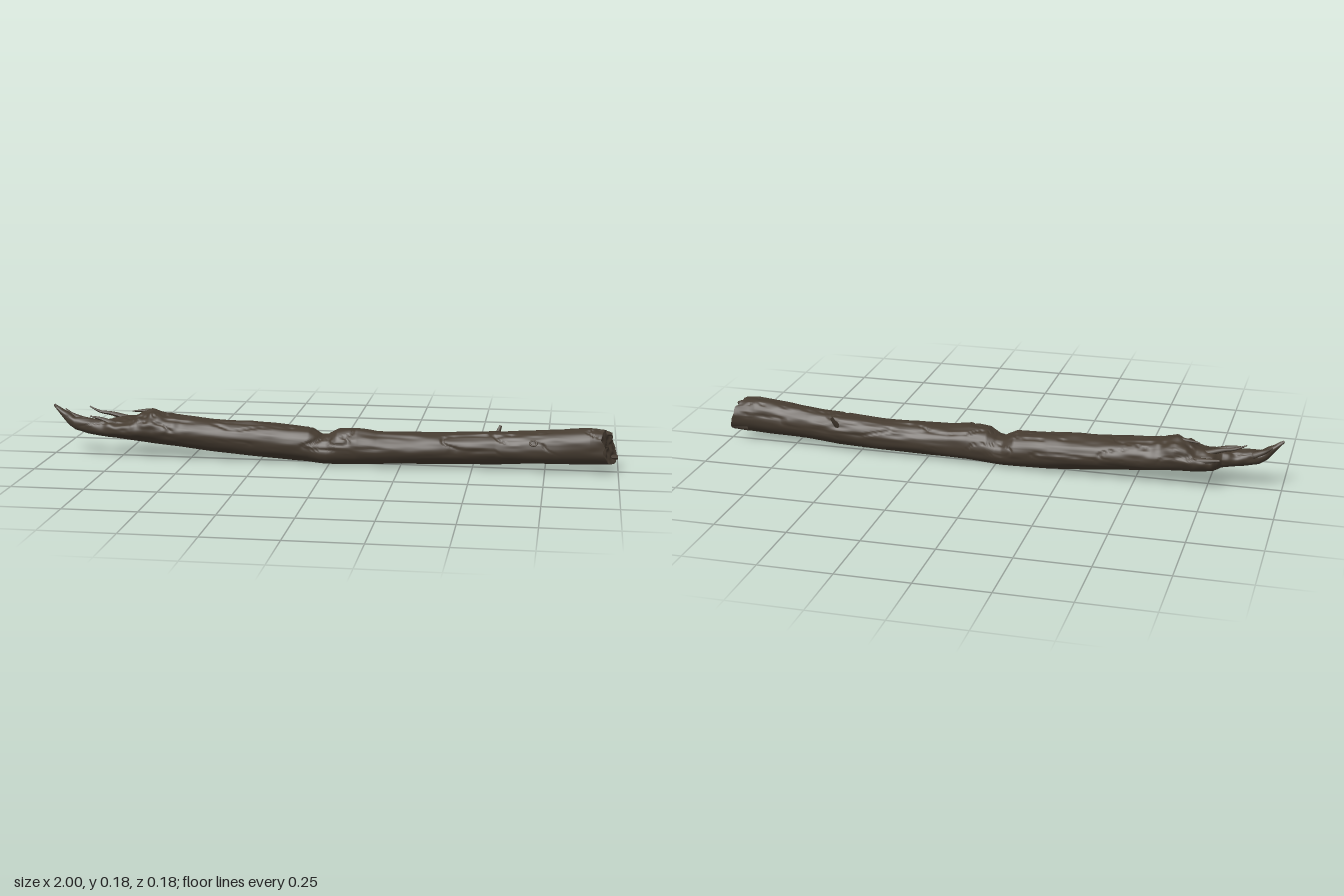
import * as THREE from 'three';

// Stations along the log: x, bottom y, top y, back z, front z
const STATIONS = [
  [-1, .182, .188, .002, .008], [-.975, .152, .176, -.006, .016], [-.945, .115, .158, -.012, .022],
  [-.92, .098, .146, -.018, .028], [-.87, .085, .142, -.022, .038], [-.83, .08, .138, -.03, .045],
  [-.795, .076, .138, -.04, .052], [-.77, .072, .142, -.08, .055], [-.71, .066, .148, -.088, .062],
  [-.68, .063, .165, -.087, .064], [-.64, .058, .176, -.086, .065], [-.59, .053, .164, -.084, .065],
  [-.5, .044, .157, -.082, .065], [-.4, .035, .15, -.08, .065], [-.2, .018, .141, -.075, .065],
  [-.07, .01, .134, -.065, .068], [-.03, .008, .112, -.058, .073], [-.005, .008, .114, -.056, .076],
  [.03, .008, .136, -.054, .08], [.1, .011, .138, -.05, .084], [.17, .014, .128, -.05, .082],
  [.4, .02, .131, -.054, .07], [.58, .026, .139, -.056, .065], [.7, .032, .147, -.045, .072],
  [.8, .035, .155, -.041, .076], [.9, .038, .164, -.037, .077], [1, .04, .162, -.034, .074],
];

function section(x) {
  let i = 0;
  while (i < STATIONS.length - 2 && STATIONS[i + 1][0] < x) i++;
  const a = STATIONS[i], b = STATIONS[i + 1];
  const t = (x - a[0]) / (b[0] - a[0]);
  const v = a.map((p, k) => p + (b[k] - p) * t);
  return { cy: (v[1] + v[2]) / 2, ry: (v[2] - v[1]) / 2, cz: (v[3] + v[4]) / 2, rz: (v[4] - v[3]) / 2 };
}

// Smooth repeatable value noise in -1..1
function hash(x, y, z) {
  const h = Math.sin(x * 127.1 + y * 311.7 + z * 74.7) * 43758.5453;
  return (h - Math.floor(h)) * 2 - 1;
}
function noise(x, y, z) {
  const X = Math.floor(x), Y = Math.floor(y), Z = Math.floor(z);
  const s = t => t * t * (3 - 2 * t), L = THREE.MathUtils.lerp;
  const u = s(x - X), v = s(y - Y), w = s(z - Z);
  const row = (j, k) => L(hash(X, Y + j, Z + k), hash(X + 1, Y + j, Z + k), u);
  return L(L(row(0, 0), row(1, 0), v), L(row(0, 1), row(1, 1), v), w);
}

// Point on the bark: ellipse plus ridges, long cracks, torn wood and a scar
function barkPoint(x, a) {
  const { cy, ry, cz, rz } = section(x);
  const c = Math.cos(a), s = Math.sin(a);
  let y = cy + ry * s, z = cz + rz * c;
  const upper = THREE.MathUtils.smoothstep(s, -.5, .5);
  const fade = Math.min(1, ry / .05);
  let d = noise(x * 7, y * 28, z * 28) * .003 + noise(x * 14, y * 75, z * 75) * .0018 * (.3 + upper);
  const crack = Math.abs(noise(x * 6 + 9, y * 38, z * 38));
  d -= Math.max(0, 1 - crack / .1) * .0045 * upper;
  const torn = upper * (1 - THREE.MathUtils.smoothstep(x, -.72, -.45));
  d += noise(x * 38, y * 45, z * 45) * .009 * torn;
  // Diagonal scar running from the top notch down the front
  const scar = Math.abs(x + .02 + (1 - s) * .06);
  if (c > 0 && s > .2) d -= Math.max(0, 1 - scar / .014) * .006;
  d *= fade;
  y += d * s;
  z += d * c;
  // Slanted break at the thick end
  if (x > .9) {
    const end = .965 - .35 * (z - .02) + .25 * (.1 - y) + noise(3, y * 45, z * 45) * .007;
    x = .9 + (x - .9) * 10 * (end - .9);
  }
  return [x, Math.max(0, y), z];
}

const AROUND = 72;

// Skin a list of closed rings; each ring holds AROUND points
function skin(rings) {
  const index = [];
  for (let i = 0; i < rings.length - 1; i++) {
    for (let j = 0; j < AROUND; j++) {
      const k = (j + 1) % AROUND;
      const a = i * AROUND + j, b = i * AROUND + k;
      index.push(a, a + AROUND, b, b, a + AROUND, b + AROUND);
    }
  }
  const g = new THREE.BufferGeometry();
  g.setAttribute('position', new THREE.Float32BufferAttribute(rings.flat(2), 3));
  g.setIndex(index);
  g.computeVertexNormals();
  return g;
}

function ring(x) {
  return Array.from({ length: AROUND }, (_, j) => barkPoint(x, j / AROUND * Math.PI * 2));
}

export function createModel() {
  const model = new THREE.Group();
  const bark = new THREE.MeshStandardMaterial({ color: 0x453b30 });
  bark.name = 'dark brown bark';

  const add = (name, geometry) => {
    const mesh = new THREE.Mesh(geometry, bark);
    mesh.name = name;
    model.add(mesh);
    return mesh;
  };

  // Curved log
  const rows = 420;
  add('log', skin(Array.from({ length: rows + 1 }, (_, i) => ring(-1 + 2 * i / rows))));

  // Rough broken face at the thick end, shrinking rings towards the middle
  const rim = ring(1);
  const mid = [0, 1, 2].map(k => rim.reduce((t, p) => t + p[k], 0) / AROUND);
  const steps = 12;
  const face = Array.from({ length: steps + 1 }, (_, i) => rim.map(p => {
    const q = p.map((v, k) => v + (mid[k] - v) * i / steps);
    const rough = Math.min(1, i / 2);
    q[0] += rough * (noise(5, q[1] * 50, q[2] * 50) * .008 - .004);
    return q;
  }));
  add('brokenEnd', skin(face));

  // Tapered splinter through a list of points
  const splinter = (name, points, r0, r1) => {
    const curve = new THREE.CatmullRomCurve3(points.map(p => new THREE.Vector3(...p)));
    const g = new THREE.TubeGeometry(curve, 10, 1, 7);
    const pos = g.attributes.position, v = new THREE.Vector3();
    for (let i = 0; i < pos.count; i++) {
      const t = Math.floor(i / 8) / 10;
      const centre = curve.getPointAt(t);
      v.fromBufferAttribute(pos, i).sub(centre).multiplyScalar(r0 + (r1 - r0) * t).add(centre);
      pos.setXYZ(i, v.x, v.y, v.z);
    }
    g.computeVertexNormals();
    add(name, g);
  };

  // Torn splinters at the thin end
  splinter('longSplinter', [[-.74, .135, -.04], [-.8, .152, -.037], [-.84, .158, -.034], [-.88, .176, -.036]], .012, .002);
  splinter('forkSplinter', [[-.9, .13, -.008], [-.94, .15, -.012], [-.965, .168, -.02]], .014, .002);
  splinter('tipSplinter', [[-.93, .13, .005], [-.965, .16, .004], [-.998, .187, .006]], .016, .004);
  splinter('backSplinter', [[-.7, .115, -.07], [-.75, .122, -.076], [-.795, .128, -.08]], .016, .004);
  splinter('topSplinter', [[-.6, .15, -.02], [-.65, .168, -.02], [-.72, .165, -.026]], .014, .002);
  splinter('sideSplinter', [[-.76, .12, .025], [-.82, .142, .02], [-.865, .15, .012]], .014, .002);

  // Splintered lip at the thick end
  splinter('lowerLip', [[.93, .065, -.008], [.97, .06, -.01], [.998, .058, -.012]], .022, .007);
  splinter('upperLip', [[.92, .14, .01], [.95, .145, .008], [.975, .142, .005]], .018, .006);

  // Broken twig on the back
  splinter('twigStub', [[.575, .105, -.04], [.585, .128, -.055], [.592, .146, -.063]], .011, .005);

  // Small knot on the front
  const knot = add('knot', new THREE.TorusGeometry(.009, .003, 8, 20));
  knot.position.set(.71, .115, .064);
  knot.rotation.x = -.45;
  knot.scale.set(1.3, 1, 1);

  return model;
}
